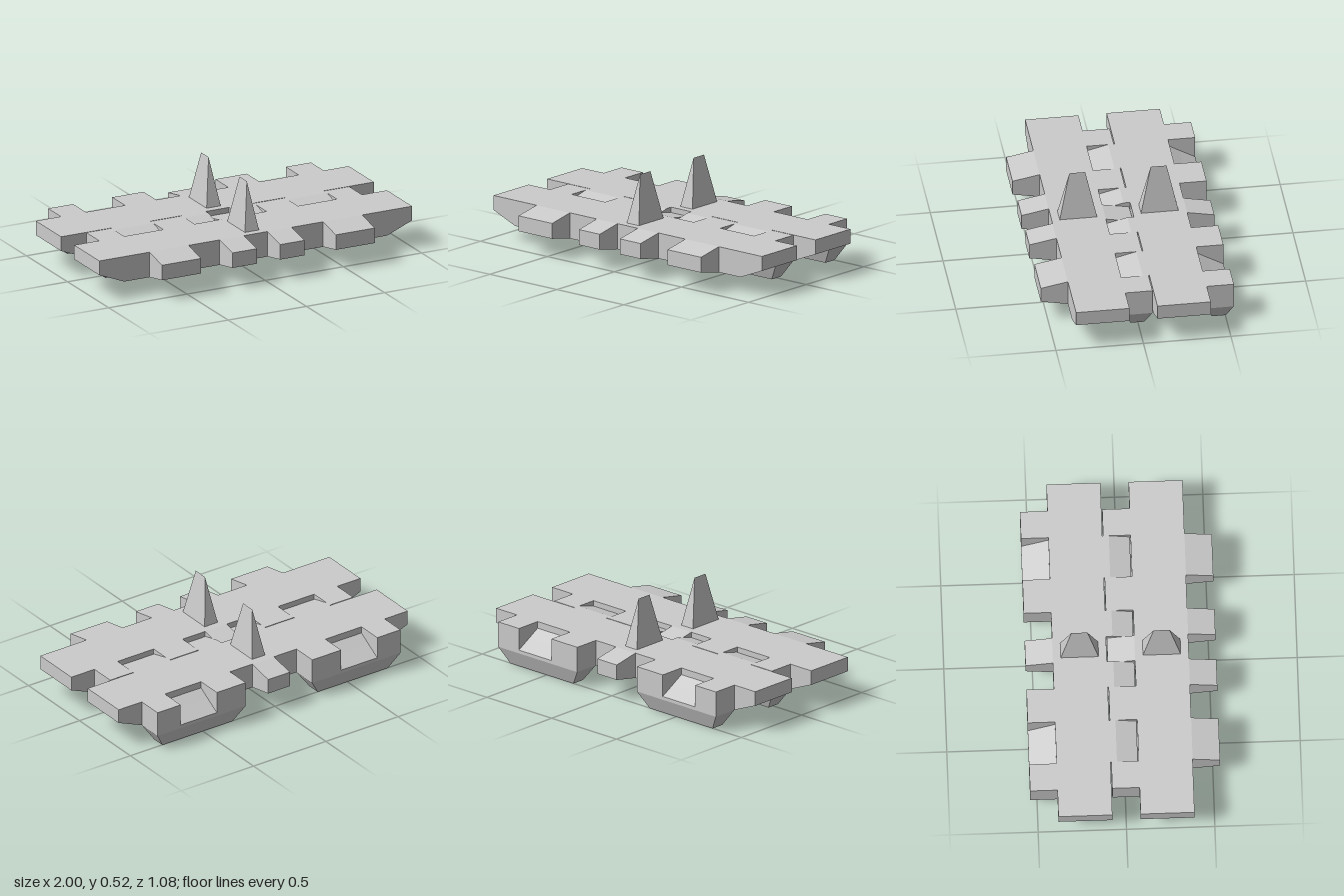
import * as THREE from 'three';

const mat = new THREE.MeshStandardMaterial({ color: 0xcccccc, flatShading: true });
const TOP = 0.245, BASE = 0.095;   // plate top and underside
const HALF = 0.1525, REACH = 0.3075; // plate half depth, reach of teeth and lugs
const PITCH = 0.465;

function add(group, geometry, name) {
  const mesh = new THREE.Mesh(geometry, mat);
  mesh.name = name;
  group.add(mesh);
}

function extrude(points, depth) {
  const shape = new THREE.Shape(points.map(([a, b]) => new THREE.Vector2(a, b)));
  return new THREE.ExtrudeGeometry(shape, { depth, bevelEnabled: false });
}

// Prism with a (z, y) profile, running from x0 to x1
function prismX(points, x0, x1) {
  return extrude(points, x1 - x0).rotateY(-Math.PI / 2).translate(x1, 0, 0);
}

// Box from y0 to y1 whose ends have different x and z ranges
function taper(y0, y1, bottom, top) {
  const g = new THREE.BoxGeometry(1, 1, 1);
  const p = g.attributes.position;
  for (let i = 0; i < p.count; i++) {
    const up = p.getY(i) > 0;
    const [x0, x1, z0, z1] = up ? top : bottom;
    p.setXYZ(i, p.getX(i) > 0 ? x1 : x0, up ? y1 : y0, p.getZ(i) > 0 ? z1 : z0);
  }
  g.computeVertexNormals();
  return g;
}

// Same span on the left (side 1) or right (side -1)
const span = (side, a, b) => (side > 0 ? [a, b] : [-b, -a]);

function createLink(toothFlat) {
  const link = new THREE.Group();

  // Wide plate with chamfered outer undersides
  add(link, extrude([[-0.84, BASE], [0.84, BASE], [1, 0.16], [1, TOP], [-1, TOP], [-1, 0.16]], 2 * HALF)
    .translate(0, 0, -HALF), 'plate');

  const tooth = [[HALF, BASE], [REACH, 0.125], [REACH, 0.215], [HALF + toothFlat, TOP], [HALF, TOP]];
  const block = [[-REACH, BASE], [-HALF, BASE], [-HALF, TOP], [-REACH, TOP]];
  const pocket = [[-REACH, BASE], [-HALF, BASE], [-HALF, 0.205], [-0.22, 0.165], [-REACH, 0.115]];

  for (const side of [1, -1]) {
    // Front hinge teeth
    add(link, prismX(tooth, ...span(side, 0.43, 0.68)), 'outerTooth');
    add(link, prismX(tooth, ...span(side, 0.075, 0.23)), 'innerTooth');

    // Rear lug with a sloping pocket for the next tooth
    add(link, prismX(block, ...span(side, 0.23, 0.43)), 'lugInner');
    add(link, prismX(block, ...span(side, 0.68, 0.84)), 'lugOuter');
    add(link, prismX(pocket, ...span(side, 0.43, 0.68)), 'lugPocket');

    // Tapered ground grip under the lug
    add(link, taper(0, BASE,
      [...span(side, 0.295, 0.78), -0.27, -0.19],
      [...span(side, 0.23, 0.84), -REACH, -HALF]), 'groundGrip');
  }

  // Centre rear tooth, mirrored from the front profile
  const rear = [[-HALF, BASE], [-HALF, TOP], [-REACH, 0.215], [-REACH, 0.125]];
  add(link, prismX(rear, -0.075, 0.075), 'rearTooth');

  // Guide horn with a sharp ridge
  add(link, taper(TOP, 0.525, [-0.045, 0.045, -0.107, 0.107], [0, 0, -0.045, 0.045]), 'guideHorn');
  return link;
}

export function createModel() {
  const model = new THREE.Group();
  model.name = 'trackSection';
  const front = createLink(0);
  front.name = 'frontLink';
  front.position.z = PITCH / 2;
  const rear = createLink(0.037);
  rear.name = 'rearLink';
  rear.position.z = -PITCH / 2;
  model.add(front, rear);
  return model;
}
